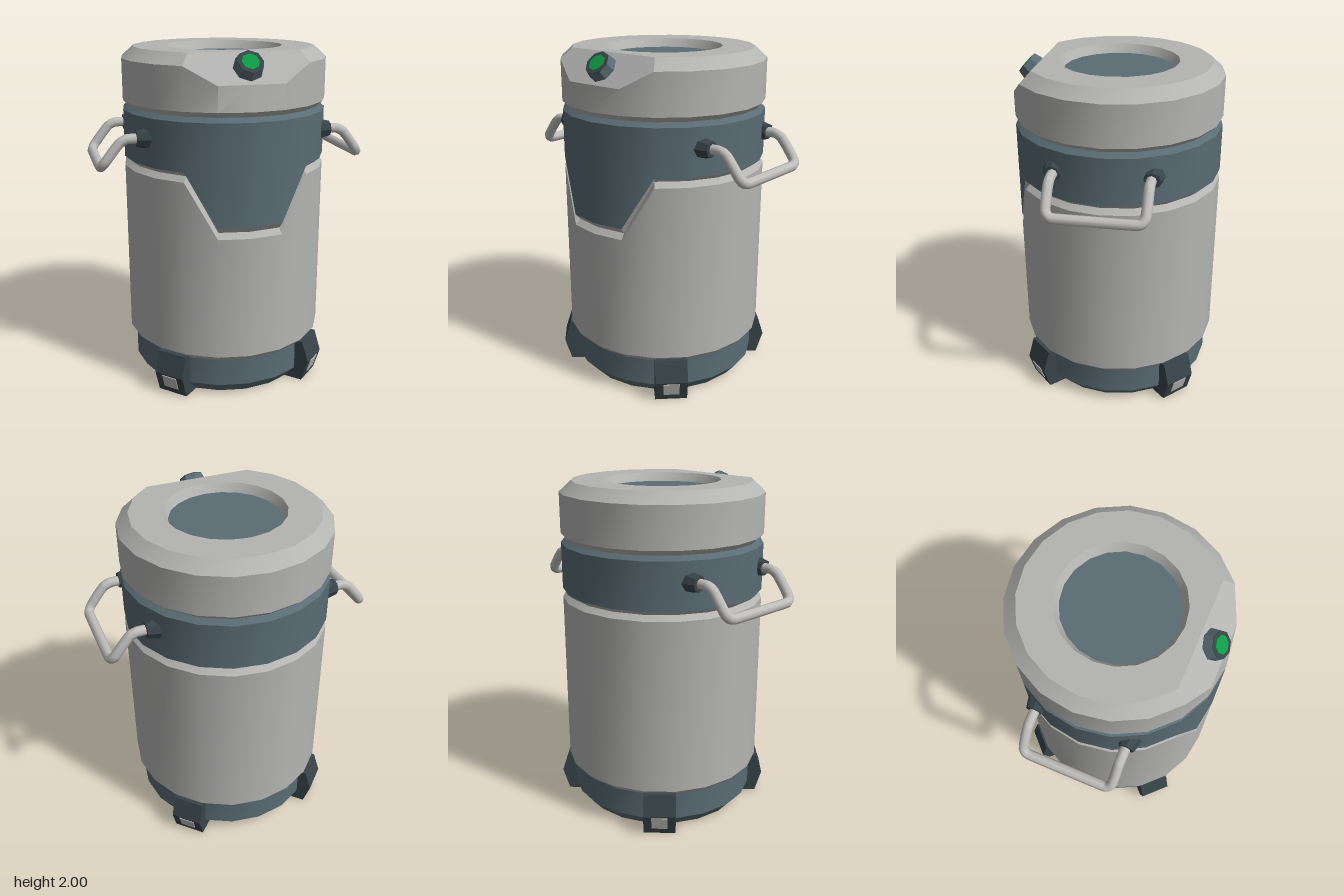
import * as THREE from 'three';
import { toCreasedNormals } from 'three/addons/utils/BufferGeometryUtils.js';

const SIDES = 20;
const paint = (name, color) => {
  const m = new THREE.MeshStandardMaterial({ color });
  m.name = name;
  return m;
};

// Ring of points; step 0 faces the front. y may depend on the step from the front.
const ring = (r, y) => Array.from({ length: SIDES }, (_, i) => {
  const a = (i / SIDES) * Math.PI * 2;
  const step = Math.min(i, SIDES - i);
  return [r * Math.sin(a), typeof y === 'function' ? y(step) : y, r * Math.cos(a)];
});

// Skin stacked rings, smooth around and sharp at the chamfers
function loft(rings) {
  const index = [];
  for (let k = 0; k < rings.length - 1; k++) {
    for (let i = 0; i < SIDES; i++) {
      const j = (i + 1) % SIDES;
      const a = k * SIDES + i, b = k * SIDES + j;
      index.push(a, b, b + SIDES, a, b + SIDES, a + SIDES);
    }
  }
  const g = new THREE.BufferGeometry();
  g.setAttribute('position', new THREE.Float32BufferAttribute(rings.flat(2), 3));
  g.setIndex(index);
  return toCreasedNormals(g, 0.4);
}

export function createModel() {
  const grey = paint('light grey shell', 0xb4b5b3);
  const pale = paint('pale handle grey', 0xc0bfbc);
  const blue = paint('slate blue', 0x5a6c74);
  const dark = paint('dark slate', 0x38444a);
  const green = paint('button green', 0x0f9a45);

  const model = new THREE.Group();
  model.name = 'canister';
  const add = (name, geometry, material, parent = model) => {
    const mesh = new THREE.Mesh(geometry, material);
    mesh.name = name;
    parent.add(mesh);
    return mesh;
  };

  // Groove heights drop at the front to outline the tab
  const drop = (high, low) => (step) => (step < 2 ? low : high);
  const bodyEdge = drop(1.305, 0.99);
  const grooveMid = drop(1.335, 1.022);
  const bandEdge = drop(1.36, 1.055);

  // Base
  add('base', loft([ring(0.505, 0), ring(0.565, 0.07), ring(0.565, 0.235)]), blue);
  add('baseBottom', new THREE.CircleGeometry(0.505, SIDES).rotateX(Math.PI / 2), blue);

  // Body and the groove above it
  add('body', loft([
    ring(0.56, 0.23), ring(0.6, 0.27), ring(0.6, bodyEdge), ring(0.57, grooveMid), ring(0.6, bandEdge),
  ]), grey);

  // Coloured band with front tab
  add('band', loft([ring(0.6, bandEdge), ring(0.6, 1.635), ring(0.57, 1.66)]), blue);

  // Lid with a flat slanted cut at the front
  const shoulder = ring(0.6, drop(1.927, 1.83));
  shoulder[0][2] = shoulder[1][2];
  const rim = ring(0.53, 1.99);
  for (const i of [0, 1, SIDES - 1]) rim[i][2] = rim[2][2];
  add('lid', loft([
    ring(0.57, 1.66), ring(0.6, 1.69), shoulder, rim, ring(0.343, 1.99), ring(0.315, 1.94),
  ]), grey);
  add('lidInset', new THREE.CircleGeometry(0.317, SIDES).rotateX(-Math.PI / 2), blue).position.y = 1.94;

  // Button standing on the slanted cut
  const button = new THREE.Group();
  button.name = 'button';
  button.position.set(0, 1.91, 0.5);
  button.rotation.x = 0.845;
  model.add(button);
  add('buttonBody', toCreasedNormals(new THREE.CylinderGeometry(0.073, 0.09, 0.07, 8), 0.3), blue, button).position.y = 0.017;
  add('buttonRing', new THREE.CylinderGeometry(0.073, 0.073, 0.003, 8), dark, button).position.y = 0.0535;
  add('buttonLight', new THREE.CylinderGeometry(0.05, 0.05, 0.003, 8), green, button).position.y = 0.0565;

  // Four feet on the diagonals, each with a small pale plate
  const profile = new THREE.Shape([
    [0.45, 0], [0.605, 0], [0.645, 0.13], [0.605, 0.255], [0.5, 0.255],
  ].map(([x, y]) => new THREE.Vector2(x, y)));
  const footGeometry = new THREE.ExtrudeGeometry(profile, { depth: 0.19, bevelEnabled: false });
  footGeometry.translate(0, 0, -0.095);
  for (let i = 0; i < 4; i++) {
    const foot = new THREE.Group();
    foot.name = 'foot';
    foot.rotation.y = Math.PI / 4 + (i * Math.PI) / 2;
    model.add(foot);
    add('footBlock', footGeometry, dark, foot);
    const plate = add('footPlate', new THREE.BoxGeometry(0.008, 0.085, 0.095), pale, foot);
    plate.position.set(0.63, 0.08, 0);
    plate.rotation.z = -Math.atan2(0.04, 0.13);
  }

  // Side handles with their mounts
  for (const side of [1, -1]) {
    const half = [
      [0.53, 1.515, 0.265], [0.62, 1.515, 0.265], [0.66, 1.497, 0.265],
      [0.7, 1.45, 0.265], [0.75, 1.385, 0.262], [0.77, 1.357, 0.225],
    ];
    const path = [...half, ...half.map(([x, y, z]) => [x, y, -z]).reverse()]
      .map(([x, y, z]) => new THREE.Vector3(x * side, y, z));
    const curve = new THREE.CatmullRomCurve3(path, false, 'catmullrom', 0.15);
    add('handle', new THREE.TubeGeometry(curve, 64, 0.029, 8), pale);
    for (const z of [0.27, -0.27]) {
      const g = toCreasedNormals(new THREE.CylinderGeometry(0.045, 0.066, 0.09, 8), 0.3);
      const mount = add('handleMount', g, dark);
      mount.rotation.z = (-side * Math.PI) / 2;
      mount.position.set(side * 0.525, 1.515, z);
    }
  }
  return model;
}
